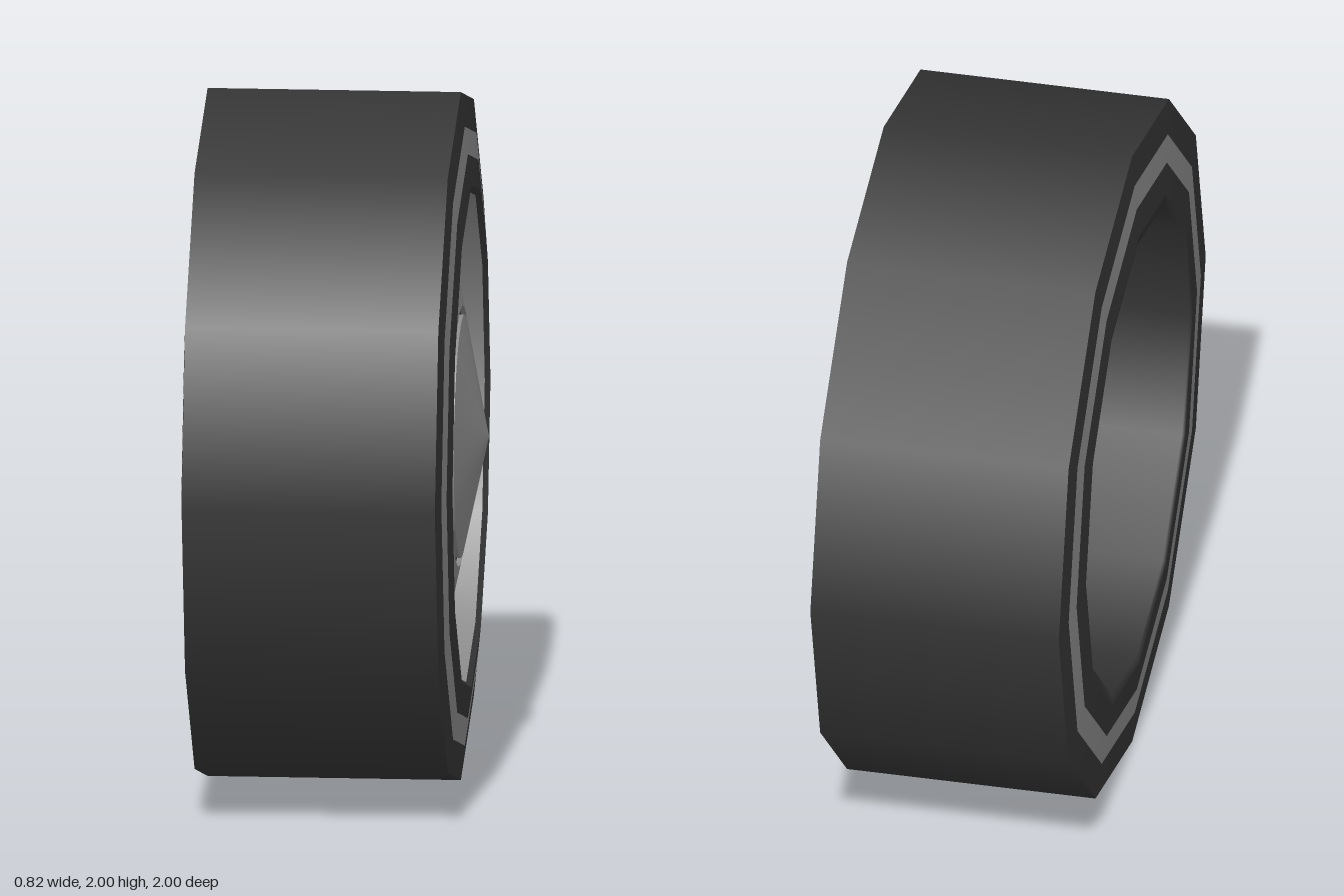
import * as THREE from 'three';

const mat = (name, color) => {
  const m = new THREE.MeshStandardMaterial({ color, side: THREE.DoubleSide });
  m.name = name;
  return m;
};

export function createModel() {
  const rubber = mat('dark rubber', 0x353535);
  const metal = mat('grey metal', 0x8a8a8a);
  const wheel = new THREE.Group();
  wheel.name = 'wheel';

  const add = (name, geometry, material) => {
    geometry.rotateZ(-Math.PI / 2); // lathe axis becomes x
    const mesh = new THREE.Mesh(geometry, material);
    mesh.name = name;
    wheel.add(mesh);
  };

  // Turned band through [x, radius] points
  const band = (name, material, points, sides = 12) =>
    add(name, new THREE.LatheGeometry(points.map(([x, r]) => new THREE.Vector2(r, x)), sides), material);

  // Sidewalls slope straight from the tread edge to the inner lip
  const outerX = r => 0.33 + 0.03 * (1 - r) / 0.27;
  const innerX = r => -0.39 - 0.02 * (1 - r) / 0.27;

  // Tyre
  band('tread', rubber, [[-0.39, 1], [0.33, 1]]);
  const stripes = [['shoulder', rubber, 1, 0.9], ['whitewall', metal, 0.9, 0.82], ['sidewall', rubber, 0.82, 0.73]];
  for (const [name, material, a, b] of stripes) {
    band(name + 'Outer', material, [[outerX(a), a], [outerX(b), b]]);
    band(name + 'Inner', material, [[innerX(b), b], [innerX(a), a]]);
  }
  band('outerLip', rubber, [[0.36, 0.73], [0.345, 0.715]]);
  band('barrel', rubber, [[0.11, 0.7], [-0.405, 0.7], [-0.41, 0.73]]);

  // Rim wall between the lip and the barrel
  band('rimWall', metal, [[0.345, 0.715], [0.11, 0.7]]);

  // Hub plate: rings lying on one shallow cone, edges given as radius by angle
  const coneX = r => 0.41 - 0.217 * r;
  const hubRing = (name, material, outer, inner) => {
    const g = new THREE.LatheGeometry([new THREE.Vector2(1, 0), new THREE.Vector2(0.5, 0)], 240);
    const p = g.attributes.position, uv = g.attributes.uv;
    for (let i = 0; i < p.count; i++) {
      const t = uv.getX(i) * Math.PI * 2;
      const r = uv.getY(i) < 0.5 ? outer(t) : inner(t);
      p.setXYZ(i, r * Math.sin(t), coneX(r), r * Math.cos(t));
    }
    g.computeVertexNormals();
    add(name, g, material);
  };
  const circle = r => () => r;
  const step = Math.PI / 6;
  const polygon = t => 0.708 * Math.cos(step / 2) / Math.cos((t % step) - step / 2);
  const scallop = t => 0.465 + 0.03 * Math.abs(Math.cos(10 * t));
  hubRing('hubEdge', metal, polygon, circle(0.64));
  hubRing('hubPlate', rubber, circle(0.64), scallop);
  hubRing('scallopedRing', metal, scallop, circle(0.37));

  // Groove and pointed cap
  const floor = 0.315;
  band('grooveOuterWall', metal, [[coneX(0.37), 0.37], [floor, 0.37]], 60);
  band('grooveFloor', rubber, [[floor, 0.37], [floor, 0.345]], 60);
  band('grooveInnerWall', metal, [[floor, 0.345], [coneX(0.345), 0.345]], 60);
  band('hubCap', metal, [[coneX(0.345), 0.345], [0.41, 0]], 60);

  wheel.position.y = 1;
  const model = new THREE.Group();
  model.name = 'wheelModel';
  model.add(wheel);
  return model;
}
